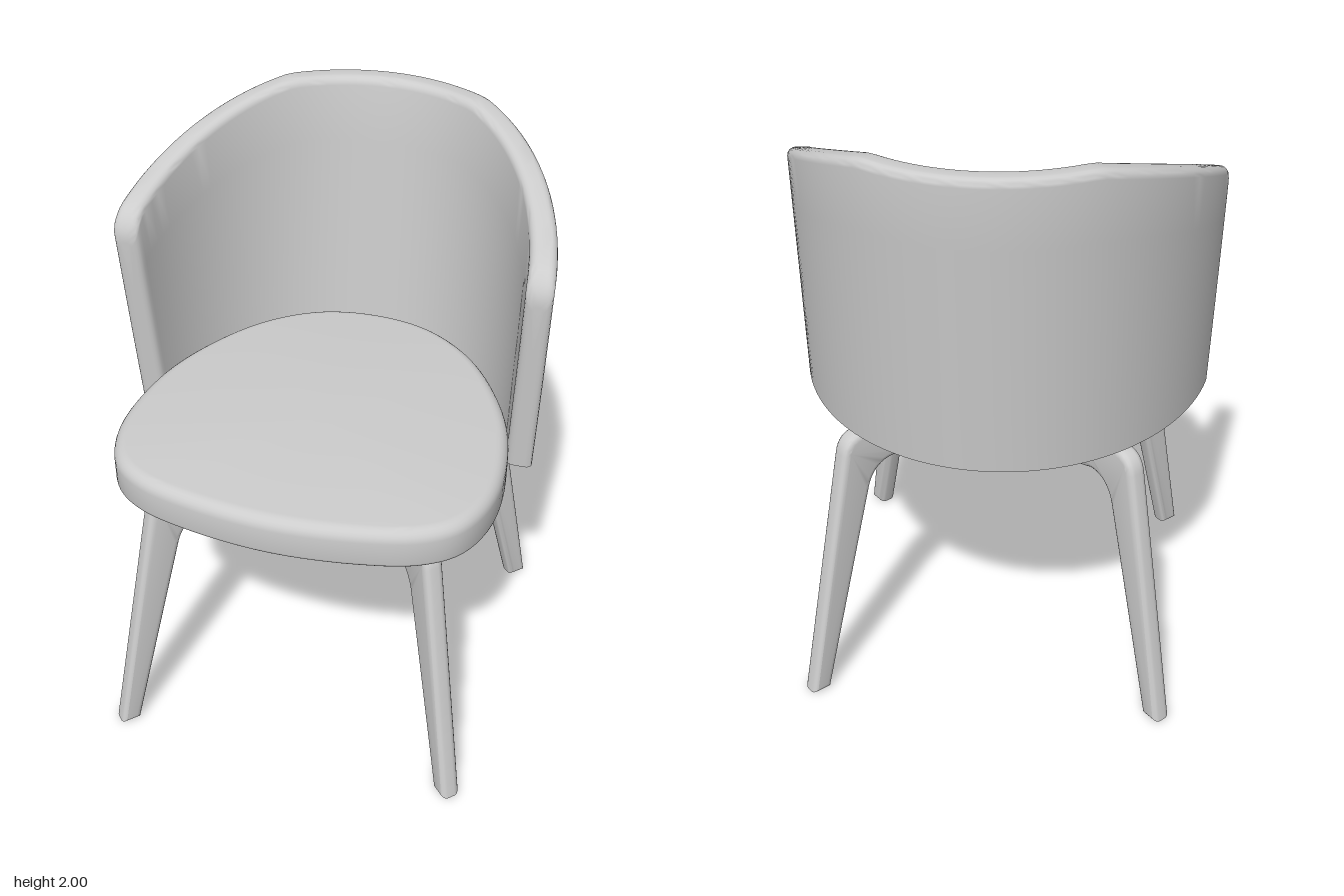
import * as THREE from 'three';
import { toCreasedNormals } from 'three/addons/utils/BufferGeometryUtils.js';

// Skins a list of closed rings (equal point counts) and caps both ends
function skin(rings, crease = 0.7) {
  const n = rings[0].length, pos = [], idx = [];
  rings.forEach(r => r.forEach(p => pos.push(p.x, p.y, p.z)));
  for (let i = 0; i < rings.length - 1; i++) {
    for (let j = 0; j < n; j++) {
      const k = (j + 1) % n, a = i * n + j, b = i * n + k;
      idx.push(a, b, b + n, a, b + n, a + n);
    }
  }
  [0, rings.length - 1].forEach((row, end) => {
    const c = new THREE.Vector3();
    rings[row].forEach(p => c.addScaledVector(p, 1 / n));
    const ci = pos.length / 3;
    pos.push(c.x, c.y, c.z);
    for (let j = 0; j < n; j++) {
      const a = row * n + j, b = row * n + (j + 1) % n;
      if (end) idx.push(ci, a, b); else idx.push(ci, b, a);
    }
  });
  const g = new THREE.BufferGeometry();
  g.setAttribute('position', new THREE.Float32BufferAttribute(pos, 3));
  g.setIndex(idx);
  return toCreasedNormals(g, crease);
}

// Drop of a quarter-round of radius r at distance d from its end
const roundOff = (d, r) => d >= r ? 0 : r - Math.sqrt(r * r - (r - d) * (r - d));

// Cushion: rounded-triangle outline stacked with soft edges
function seatGeometry() {
  const half = [[0.29, 0.678], [0.47, 0.625], [0.575, 0.54], [0.638, 0.36], [0.615, 0.06],
    [0.525, -0.17], [0.383, -0.37], [0.2, -0.495]];
  const outline = [[0, 0.708], ...half, [0, -0.53], ...half.slice().reverse().map(([x, z]) => [-x, z])];
  const curve = new THREE.CatmullRomCurve3(outline.map(([x, z]) => new THREE.Vector3(x, 0, z)), true);
  const points = curve.getPoints(96).slice(0, 96);
  const levels = [];
  for (let i = 0; i <= 3; i++) {
    const a = i / 3 * Math.PI / 2;
    levels.push([1.015 - 0.015 * Math.cos(a), 0.015 * (1 - Math.sin(a))]);
  }
  for (let i = 0; i <= 6; i++) {
    const a = i / 6 * Math.PI / 2;
    levels.push([1.095 + 0.043 * Math.sin(a), 0.043 * (1 - Math.cos(a))]);
  }
  return skin(levels.map(([y, inset]) => points.map(p => {
    const k = 1 - inset / Math.hypot(p.x, p.z - 0.1);
    return new THREE.Vector3(p.x * k, y, 0.1 + (p.z - 0.1) * k);
  })));
}

// Wraparound back: rounded wall section swept round a flaring half ellipse
function backGeometry() {
  const wall = 0.087, zc = 0.2, rim = 0.028;
  const point = (u, y, t) => {
    const a = 0.71 + 0.02 * (y - 1) - t, b = 0.83 + 0.088 * (y - 1) - t;
    const front = 0.05 + 0.093 * (y - 1);
    const th = u * Math.acos((zc - front) / b);
    return new THREE.Vector3(a * Math.sin(th), y, zc - b * Math.cos(th));
  };
  const tip = [0, 0.002, 0.007, 0.014, 0.025, 0.04, 0.06, 0.085].map(d => 1 - d / 1.3);
  const us = tip.map(u => -u);
  for (let i = 1; i < 60; i++) us.push((i / 30 - 1) * 0.93);
  us.push(...tip.reverse());
  return skin(us.map(u => {
    const d = (1 - Math.abs(u)) * 1.3;
    const e = roundOff(d, 0.025);
    const z = point(u, 1.9, 0).z;
    const top = Math.min(2, 2 - (z + 0.6) * 0.343) - roundOff(d, 0.085);
    const ring = [], t0 = e, t1 = wall - e, r = Math.min(rim, (t1 - t0) * 0.45);
    for (let i = 0; i < 5; i++) ring.push(point(u, 1 + (top - r - 1) * i / 5, t0));
    for (let i = 0; i <= 5; i++) {
      const a = i / 5 * Math.PI / 2;
      ring.push(point(u, top - r + r * Math.sin(a), t0 + r * (1 - Math.cos(a))));
    }
    for (let i = 0; i <= 5; i++) {
      const a = i / 5 * Math.PI / 2;
      ring.push(point(u, top - r + r * Math.cos(a), t1 - r * (1 - Math.sin(a))));
    }
    for (let i = 4; i >= 0; i--) ring.push(point(u, 1 + (top - r - 1) * i / 5, t1));
    return ring;
  }));
}

// Portal frame: two splayed legs joined by a crossbar, with softened edges
function legFrameGeometry() {
  const s = new THREE.Shape();
  s.moveTo(0.8, 0);
  s.lineTo(0.87, 0);
  s.lineTo(0.69, 0.91);
  s.quadraticCurveTo(0.675, 0.98, 0.6, 0.98);
  s.lineTo(0.49, 0.975);
  s.quadraticCurveTo(0.43, 0.975, 0.38, 0.998);
  s.lineTo(-0.38, 0.998);
  s.quadraticCurveTo(-0.43, 0.975, -0.49, 0.975);
  s.lineTo(-0.6, 0.98);
  s.quadraticCurveTo(-0.675, 0.98, -0.69, 0.91);
  s.lineTo(-0.87, 0);
  s.lineTo(-0.8, 0);
  s.lineTo(-0.595, 0.76);
  s.quadraticCurveTo(-0.57, 0.845, -0.49, 0.842);
  s.quadraticCurveTo(-0.43, 0.82, -0.38, 0.82);
  s.lineTo(0.38, 0.82);
  s.quadraticCurveTo(0.43, 0.82, 0.49, 0.842);
  s.quadraticCurveTo(0.57, 0.845, 0.595, 0.76);
  s.closePath();
  const bevel = 0.022, width = 0.07;
  const g = new THREE.ExtrudeGeometry(s, {
    depth: width - 2 * bevel, bevelEnabled: true, bevelThickness: bevel,
    bevelSize: bevel, bevelOffset: -bevel, bevelSegments: 4, curveSegments: 10,
  });
  g.translate(0, 0, -width / 2 + bevel);
  return toCreasedNormals(g, 0.7);
}

export function createModel() {
  const chair = new THREE.Group();
  chair.name = 'chair';
  const grey = new THREE.MeshStandardMaterial({ color: 0xcccccc });
  grey.name = 'light grey';
  const add = (name, geometry) => {
    const mesh = new THREE.Mesh(geometry, grey);
    mesh.name = name;
    chair.add(mesh);
    return mesh;
  };

  add('seat', seatGeometry());
  add('backrest', backGeometry());

  // Two frames crossing on the diagonals
  const frame = legFrameGeometry();
  [['legFrameA', 1], ['legFrameB', -1]].forEach(([name, side]) => {
    const mesh = add(name, frame);
    mesh.rotation.y = side * Math.PI / 4;
    mesh.position.z = 0.037;
  });
  return chair;
}
